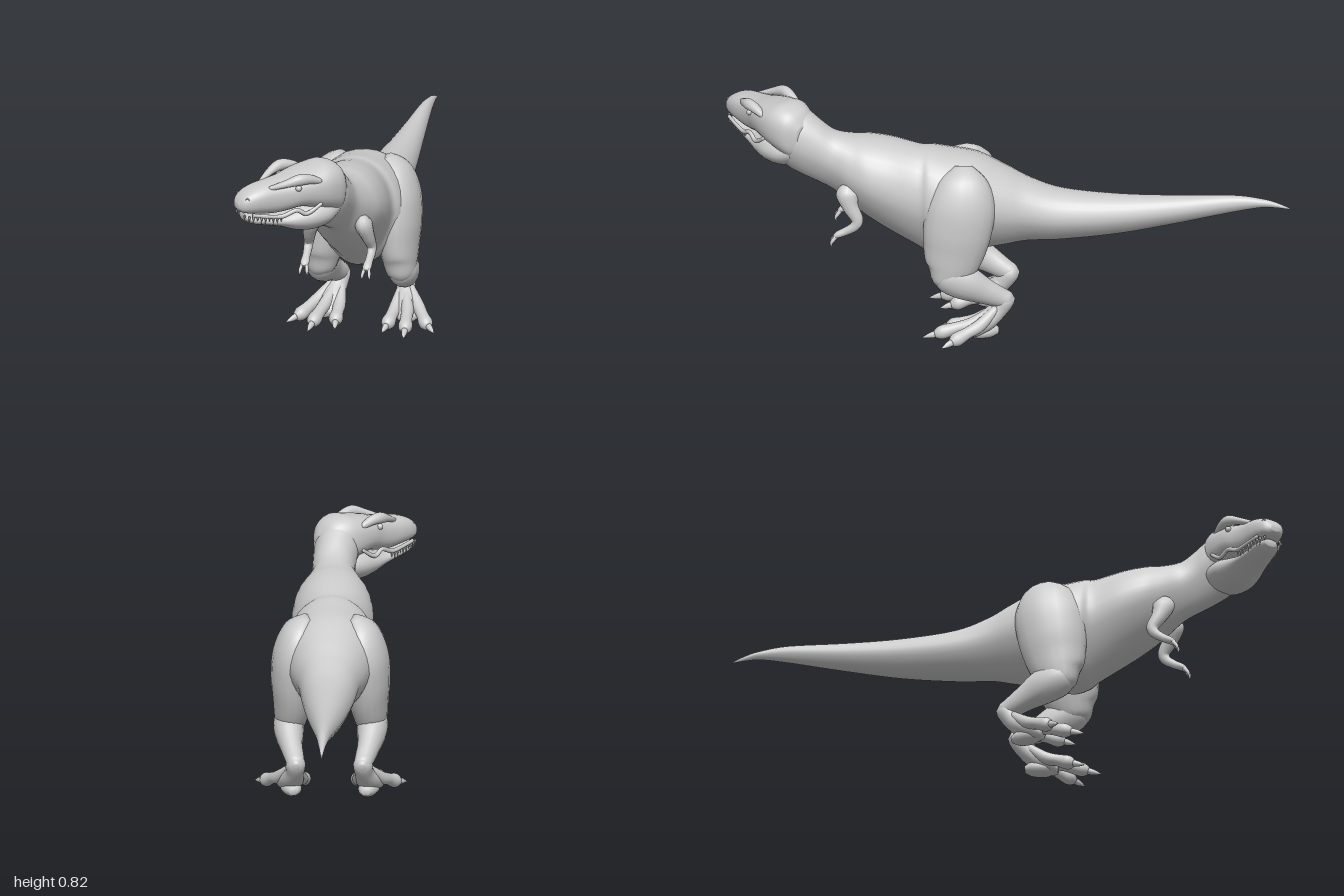
import * as THREE from 'three';

const V = (x, y, z) => new THREE.Vector3(x, y, z);
const grey = new THREE.MeshStandardMaterial({ color: 0xcccccc, side: THREE.DoubleSide });

function mesh(name, geometry) {
  const m = new THREE.Mesh(geometry, grey);
  m.name = name;
  return m;
}

// Catmull-Rom interpolation of every column of a table of rows
function smooth(rows, steps) {
  const out = [];
  const at = i => rows[Math.min(Math.max(i, 0), rows.length - 1)];
  for (let i = 0; i < rows.length - 1; i++) {
    for (let k = 0; k < steps; k++) {
      const t = k / steps;
      out.push(rows[i].map((b, c) => {
        const a = at(i - 1)[c], d = at(i + 1)[c], e = at(i + 2)[c];
        return b + 0.5 * t * (d - a + t * (2 * a - 5 * b + 4 * d - e + t * (3 * (b - d) + e - a)));
      }));
    }
  }
  out.push(rows[rows.length - 1]);
  return out;
}

// Closed skin over a list of rings, capped at both ends
function skin(rings) {
  const n = rings[0].length, last = rings.length - 1, pos = [], idx = [];
  rings.forEach(r => r.forEach(p => pos.push(p.x, p.y, p.z)));
  for (let i = 0; i < last; i++) {
    for (let j = 0; j < n; j++) {
      const a = i * n + j, b = i * n + (j + 1) % n;
      idx.push(a, b, b + n, a, b + n, a + n);
    }
  }
  [0, last].forEach(i => {
    const mid = rings[i].reduce((s, p) => s.add(p), V(0, 0, 0)).divideScalar(n);
    const c = pos.length / 3;
    pos.push(mid.x, mid.y, mid.z);
    for (let j = 0; j < n; j++) {
      const a = i * n + j, b = i * n + (j + 1) % n;
      if (i) idx.push(a, b, c); else idx.push(b, a, c);
    }
  });
  const g = new THREE.BufferGeometry();
  g.setAttribute('position', new THREE.Float32BufferAttribute(pos, 3));
  g.setIndex(idx);
  g.computeVertexNormals();
  return g;
}

// Upright sections: [x, z, top, bottom, halfWidth, yaw]; pinch narrows the underside
function hull(rows, power, pinch, n = 32) {
  return skin(smooth(rows, 5).map(([x, z, top, bot, w, yaw]) => {
    const ring = [];
    for (let j = 0; j < n; j++) {
      const a = j / n * Math.PI * 2, c = Math.cos(a), s = Math.sin(a);
      const u = w * Math.sign(c) * Math.abs(c) ** power * (1 - pinch * Math.max(0, -s));
      const v = Math.sign(s) * Math.abs(s) ** power;
      ring.push(V(x + u * Math.cos(yaw), (top + bot) / 2 + v * (top - bot) / 2, z - u * Math.sin(yaw)));
    }
    return ring;
  }));
}

// Sections square to a path: [x, y, z, radius across, radius in the side plane]
function limb(rows, side = 1, n = 18) {
  const pts = smooth(rows.map(([x, ...r]) => [x * side, ...r]), 5);
  const P = i => V(...pts[Math.min(Math.max(i, 0), pts.length - 1)].slice(0, 3));
  return skin(pts.map((r, i) => {
    const t = P(i + 1).sub(P(i - 1)).normalize();
    const v = t.clone().cross(V(1, 0, 0)).normalize(), u = v.clone().cross(t);
    return Array.from({ length: n }, (_, j) => {
      const a = j / n * Math.PI * 2;
      return P(i).addScaledVector(u, Math.cos(a) * r[3]).addScaledVector(v, Math.sin(a) * r[4]);
    });
  }));
}

function buildHead() {
  const head = new THREE.Group();
  head.name = 'head';
  const along = rows => rows.map(([s, top, bot, w]) => [0, s, top, bot, w, 0]);
  head.add(mesh('skull', hull(along([
    [-0.40, 0.05, -0.05, 0.03], [-0.37, 0.095, -0.07, 0.07], [-0.32, 0.115, -0.06, 0.09],
    [-0.27, 0.108, -0.045, 0.093], [-0.21, 0.095, -0.033, 0.084], [-0.16, 0.082, -0.042, 0.07],
    [-0.11, 0.073, -0.046, 0.062], [-0.06, 0.064, -0.04, 0.058], [-0.02, 0.05, -0.034, 0.051],
    [0.008, 0.03, -0.026, 0.038], [0.022, 0.008, -0.012, 0.016]]), 0.8, 0.05)));
  head.add(mesh('lowerJaw', hull(along([
    [-0.37, -0.03, -0.09, 0.045], [-0.32, -0.02, -0.12, 0.078], [-0.26, -0.02, -0.13, 0.086],
    [-0.20, -0.035, -0.122, 0.075], [-0.14, -0.05, -0.1, 0.06], [-0.08, -0.047, -0.087, 0.05],
    [-0.03, -0.04, -0.075, 0.043], [-0.005, -0.035, -0.06, 0.025]]), 0.85, 0.25)));
  for (const side of [1, -1]) {
    head.add(mesh('browRidge', limb([[0.035, 0.055, -0.09, 0.008, 0.008], [0.062, 0.075, -0.14, 0.015, 0.013],
      [0.076, 0.088, -0.185, 0.019, 0.02], [0.076, 0.085, -0.225, 0.018, 0.017],
      [0.075, 0.07, -0.27, 0.01, 0.01]], side)));
    head.add(mesh('lip', limb([[0.047, -0.03, -0.02, 0.006, 0.007], [0.058, -0.04, -0.08, 0.006, 0.007],
      [0.065, -0.044, -0.13, 0.007, 0.008], [0.074, -0.026, -0.18, 0.007, 0.008],
      [0.08, -0.042, -0.22, 0.007, 0.008], [0.084, -0.01, -0.275, 0.005, 0.006]], side)));
    const eye = mesh('eye', new THREE.SphereGeometry(0.011, 16, 12));
    eye.position.set(side * 0.074, 0.056, -0.185);
    head.add(eye);
    const nostril = mesh('nostril', new THREE.TorusGeometry(0.006, 0.002, 8, 14));
    nostril.position.set(side * 0.036, 0.026, -0.003);
    nostril.rotation.y = side * 0.8;
    head.add(nostril);
    for (let i = 0; i < 10; i++) {
      const h = 0.02 + 0.012 * Math.abs(Math.sin(i * 2.1));
      const tooth = mesh('tooth', new THREE.ConeGeometry(0.005, h, 8));
      tooth.position.set(side * (0.03 + 0.03 * Math.sqrt(i / 9)), -0.034 - 0.014 * i / 9 - h / 2, 0.003 - i * 0.0145);
      tooth.rotation.x = Math.PI;
      head.add(tooth);
    }
  }
  head.rotation.set(0, -0.86, -0.07, 'YXZ');
  head.position.set(-0.25, 0.7, 0.963);
  return head;
}

function buildLeg(side) {
  const leg = new THREE.Group();
  leg.name = side > 0 ? 'leftLeg' : 'rightLeg';
  const add = (name, rows) => leg.add(mesh(name, limb(rows, side)));
  add('thigh', [[0.08, 0.63, 0.14, 0.02, 0.03], [0.1, 0.58, 0.14, 0.065, 0.09], [0.122, 0.5, 0.145, 0.08, 0.12],
    [0.13, 0.41, 0.158, 0.08, 0.122], [0.133, 0.33, 0.17, 0.072, 0.11], [0.14, 0.26, 0.185, 0.06, 0.088],
    [0.145, 0.215, 0.205, 0.045, 0.05], [0.145, 0.195, 0.21, 0.012, 0.015]]);
  add('shin', [[0.147, 0.265, 0.225, 0.03, 0.03], [0.147, 0.24, 0.19, 0.052, 0.062], [0.145, 0.212, 0.13, 0.052, 0.064],
    [0.135, 0.178, 0.065, 0.04, 0.048], [0.122, 0.15, 0.01, 0.034, 0.037], [0.117, 0.138, -0.02, 0.029, 0.03],
    [0.116, 0.133, -0.04, 0.01, 0.012]]);
  add('instep', [[0.116, 0.165, -0.02, 0.018, 0.015], [0.117, 0.14, -0.01, 0.034, 0.032], [0.122, 0.1, 0.018, 0.034, 0.033],
    [0.135, 0.062, 0.06, 0.045, 0.035], [0.145, 0.035, 0.1, 0.045, 0.026], [0.15, 0.025, 0.13, 0.02, 0.015]]);
  add('heelPad', [[0.125, 0.025, 0.015, 0.015, 0.012], [0.13, 0.027, 0.045, 0.032, 0.026],
    [0.14, 0.024, 0.09, 0.035, 0.023], [0.145, 0.02, 0.12, 0.01, 0.01]]);
  // Toes run from the instep to a knuckle, a pad and a claw tip
  const toes = [
    [[0.106, 0.11, 0.02], [0.1, 0.055, 0.09], [0.094, 0.026, 0.175], [0.085, 0.008, 0.235]],
    [[0.122, 0.115, 0.02], [0.146, 0.06, 0.1], [0.164, 0.028, 0.21], [0.172, 0.008, 0.28]],
    [[0.138, 0.115, 0.02], [0.178, 0.065, 0.075], [0.225, 0.028, 0.155], [0.266, 0.01, 0.205]]];
  for (const [a, b, c, d] of toes) {
    const mix = (p, q, t) => p.map((v, i) => v + (q[i] - v) * t);
    add('toe', [[...a, 0.013, 0.014], [...b, 0.022, 0.022], [...mix(b, c, 0.55), 0.021, 0.021],
      [...c, 0.025, 0.025], [...mix(c, d, 0.35), 0.014, 0.014]]);
    add('toeClaw', [[...mix(c, d, 0.2), 0.012, 0.013], [...mix(c, d, 0.6), 0.009, 0.01], [...d, 0.001, 0.001]]);
  }
  return leg;
}

function buildArm(side) {
  const arm = new THREE.Group();
  arm.name = side > 0 ? 'leftArm' : 'rightArm';
  const add = (name, rows) => arm.add(mesh(name, limb(rows, side, 12)));
  add('armAndHand', [[0.085, 0.545, 0.545, 0.015, 0.02], [0.092, 0.515, 0.548, 0.03, 0.04],
    [0.104, 0.47, 0.535, 0.024, 0.029], [0.112, 0.428, 0.512, 0.018, 0.022], [0.114, 0.402, 0.52, 0.016, 0.018],
    [0.113, 0.382, 0.55, 0.014, 0.015], [0.112, 0.367, 0.58, 0.016, 0.012], [0.112, 0.356, 0.592, 0.009, 0.007]]);
  for (const out of [-1, 1]) {
    add('finger', [[0.112 + out * 0.006, 0.368, 0.58, 0.006, 0.007], [0.112 + out * 0.011, 0.35, 0.595, 0.006, 0.007],
      [0.112 + out * 0.013, 0.338, 0.602, 0.005, 0.005], [0.112 + out * 0.015, 0.325, 0.598, 0.001, 0.001]]);
  }
  return arm;
}

export function createModel() {
  const model = new THREE.Group();
  model.name = 'dinosaur';
  // Tail, hips, chest and the neck that turns towards the right
  model.add(mesh('body', hull([
    [0, -1, 0.468, 0.463, 0.002, 0], [0, -0.95, 0.488, 0.468, 0.008, 0], [0, -0.9, 0.5, 0.468, 0.014, 0],
    [0, -0.8, 0.51, 0.448, 0.024, 0], [0, -0.6, 0.502, 0.4, 0.045, 0], [0, -0.4, 0.5, 0.357, 0.068, 0],
    [0, -0.2, 0.514, 0.33, 0.091, 0], [0, -0.08, 0.553, 0.322, 0.106, 0], [0, 0, 0.594, 0.305, 0.13, 0],
    [0, 0.1, 0.638, 0.285, 0.162, 0], [0, 0.2, 0.655, 0.252, 0.172, 0], [0, 0.26, 0.665, 0.262, 0.16, 0],
    [0, 0.3, 0.667, 0.288, 0.139, 0], [0, 0.4, 0.69, 0.348, 0.145, 0], [0, 0.48, 0.7, 0.4, 0.137, 0],
    [0, 0.54, 0.702, 0.445, 0.112, 0], [0.002, 0.6, 0.717, 0.495, 0.082, 0], [0.003, 0.655, 0.757, 0.525, 0.076, -0.1],
    [-0.002, 0.71, 0.795, 0.55, 0.08, -0.35], [-0.02, 0.76, 0.806, 0.575, 0.078, -0.65],
    [-0.06, 0.8, 0.775, 0.61, 0.055, -0.86]], 0.95, 0.3)));
  model.add(buildHead());
  for (const side of [1, -1]) model.add(buildLeg(side), buildArm(side));
  return model;
}
